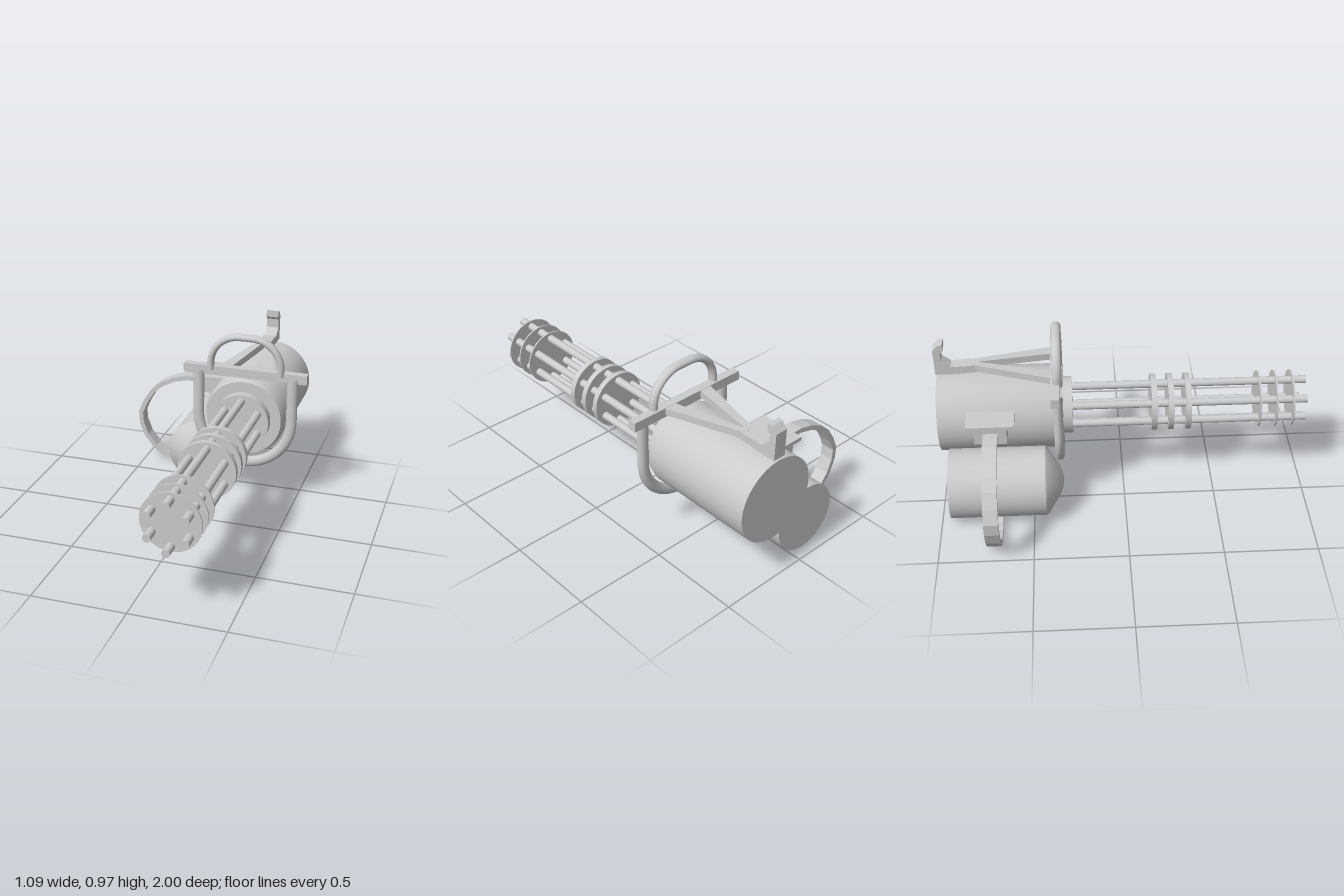
import * as THREE from 'three';
import { toCreasedNormals } from 'three/addons/utils/BufferGeometryUtils.js';

const AX = 0.2, AY = 0.49; // main axis of body and barrels

export function createModel() {
  const model = new THREE.Group();
  const mat = new THREE.MeshStandardMaterial({ color: 0xcccccc });

  const add = (name, geo, x = 0, y = 0, z = 0) => {
    const mesh = new THREE.Mesh(geo, mat);
    mesh.name = name;
    mesh.position.set(x, y, z);
    model.add(mesh);
    return mesh;
  };
  const box = (name, x0, x1, y0, y1, z0, z1) =>
    add(name, new THREE.BoxGeometry(x1 - x0, y1 - y0, z1 - z0), (x0 + x1) / 2, (y0 + y1) / 2, (z0 + z1) / 2);
  // cylinder along z
  const rod = (name, r, z0, z1, x, y, sides = 48) =>
    add(name, new THREE.CylinderGeometry(r, r, z1 - z0, sides).rotateX(Math.PI / 2), x, y, (z0 + z1) / 2);
  // turned shape along z, profile of [radius, z] from back to front
  const turned = (name, profile, x, y) => {
    const geo = new THREE.LatheGeometry(profile.map(([r, z]) => new THREE.Vector2(r, z)), 64).rotateX(Math.PI / 2);
    return add(name, toCreasedNormals(geo, 0.5), x, y, 0);
  };
  // tube through points in the xy plane, stretched along z
  const bentTube = (name, pts, r, zScale, z) => {
    const curve = new THREE.CatmullRomCurve3(pts.map(([x, y]) => new THREE.Vector3(x, y, 0)), false, 'centripetal');
    return add(name, new THREE.TubeGeometry(curve, 96, r, 16).scale(1, 1, zScale), 0, 0, z);
  };
  const arc = (cx, cy, r, a0, a1, n = 20) => Array.from({ length: n + 1 }, (_, i) => {
    const a = (a0 + (a1 - a0) * i / n) * Math.PI / 180;
    return [cx + r * Math.cos(a), cy + r * Math.sin(a)];
  });
  const shapeOf = pts => new THREE.Shape(pts.map(p => new THREE.Vector2(...p)));

  // Motor body and barrel hub
  turned('body', [[0, -0.99], [0.228, -0.99], [0.228, -0.37], [0.213, -0.325], [0, -0.325]], AX, AY);
  rod('hub', 0.154, -0.345, -0.275, AX, AY);

  // Six barrels and the discs that clamp them
  for (const [dx, dy] of [[0, 0.122], [0, -0.122], [0.093, 0.058], [-0.093, 0.058], [0.093, -0.058], [-0.093, -0.058]])
    rod('barrel', 0.021, -0.3, 1, AX + dx, AY - 0.003 + dy, 20);
  for (const z of [0.167, 0.258, 0.352]) rod('thickDisc', 0.154, z - 0.015, z + 0.015, AX, AY);
  for (const z of [0.742, 0.832, 0.923]) rod('thinDisc', 0.154, z - 0.004, z + 0.004, AX, AY);

  // U-shaped frame, crossbar and carrying handle
  bentTube('frame', [[-0.066, 0.74], [-0.066, 0.6], ...arc(AX, 0.4825, 0.266, 180, 360, 32), [0.466, 0.6], [0.466, 0.74]],
    0.0305, 0.82, -0.35);
  box('crossbar', -0.152, 0.545, 0.72, 0.771, -0.385, -0.34);
  bentTube('handle', [[0.002, 0.75], ...arc(0.165, 0.787, 0.163, 180, 90), ...arc(0.235, 0.787, 0.163, 90, 0), [0.398, 0.75]],
    0.0195, 1.28, -0.35);

  // Two braces converging behind the crossbar
  for (const side of [1, -1]) {
    const outline = shapeOf([[0.153, 0.375], [0.085, 0.375], [0, 0.77], [0, 0.8], [0.035, 0.78]].map(([x, d]) => [side * x, d]));
    const geo = new THREE.ExtrudeGeometry(outline, { depth: 0.038, bevelEnabled: false }).rotateX(-Math.PI / 2);
    const p = geo.attributes.position;
    for (let i = 0; i < p.count; i++) p.setY(i, p.getY(i) + 0.731 + (-p.getZ(i) - 0.375) * 0.045); // rises to the back
    geo.computeVertexNormals();
    add('brace', geo, AX, 0, 0);
  }

  // Rear beam ending in an upright hook, drawn as [distance back, height]
  const hook = shapeOf([[0.76, 0.745], [0.9, 0.735], [0.993, 0.735], [0.996, 0.882], [0.965, 0.915], [0.942, 0.92],
    [0.942, 0.882], [0.957, 0.866], [0.957, 0.815], [0.91, 0.78], [0.76, 0.788]]);
  add('rearHook', new THREE.ExtrudeGeometry(hook, { depth: 0.07, bevelEnabled: false }).rotateY(Math.PI / 2), AX - 0.035, 0, 0);

  // Ammunition drum with a conical nose
  turned('drum', [[0, -0.943], [0.188, -0.943], [0.188, -0.43], [0.18, -0.418], [0.073, -0.35], [0.03, -0.336], [0, -0.332]],
    -0.085, 0.194);

  // Feed box with a wider lid
  box('feedBox', -0.133, 0.03, 0.49, 0.585, -0.79, -0.62);
  box('feedLid', -0.142, 0.03, 0.583, 0.604, -0.833, -0.58);

  // Feed belt: a faceted strip looping from the box to the drum
  const path = [[-0.12, 0.543], [-0.245, 0.545], [-0.323, 0.525], [-0.4, 0.487], [-0.458, 0.434], [-0.504, 0.36],
    [-0.534, 0.29], [-0.53, 0.224], [-0.5, 0.145], [-0.443, 0.072], [-0.376, 0.031], [-0.297, 0.016], [-0.23, 0.022], [-0.13, 0.06]];
  const offset = d => path.map(([x, y], i) => {
    const a = path[Math.max(i - 1, 0)], b = path[Math.min(i + 1, path.length - 1)];
    const tx = b[0] - a[0], ty = b[1] - a[1], l = Math.hypot(tx, ty);
    return [x - ty / l * d, y + tx / l * d];
  });
  const belt = shapeOf([...offset(0.0135), ...offset(-0.0135).reverse()]);
  add('feedBelt', new THREE.ExtrudeGeometry(belt, { depth: 0.076, bevelEnabled: false }), 0, 0, -0.743);

  return model;
}
